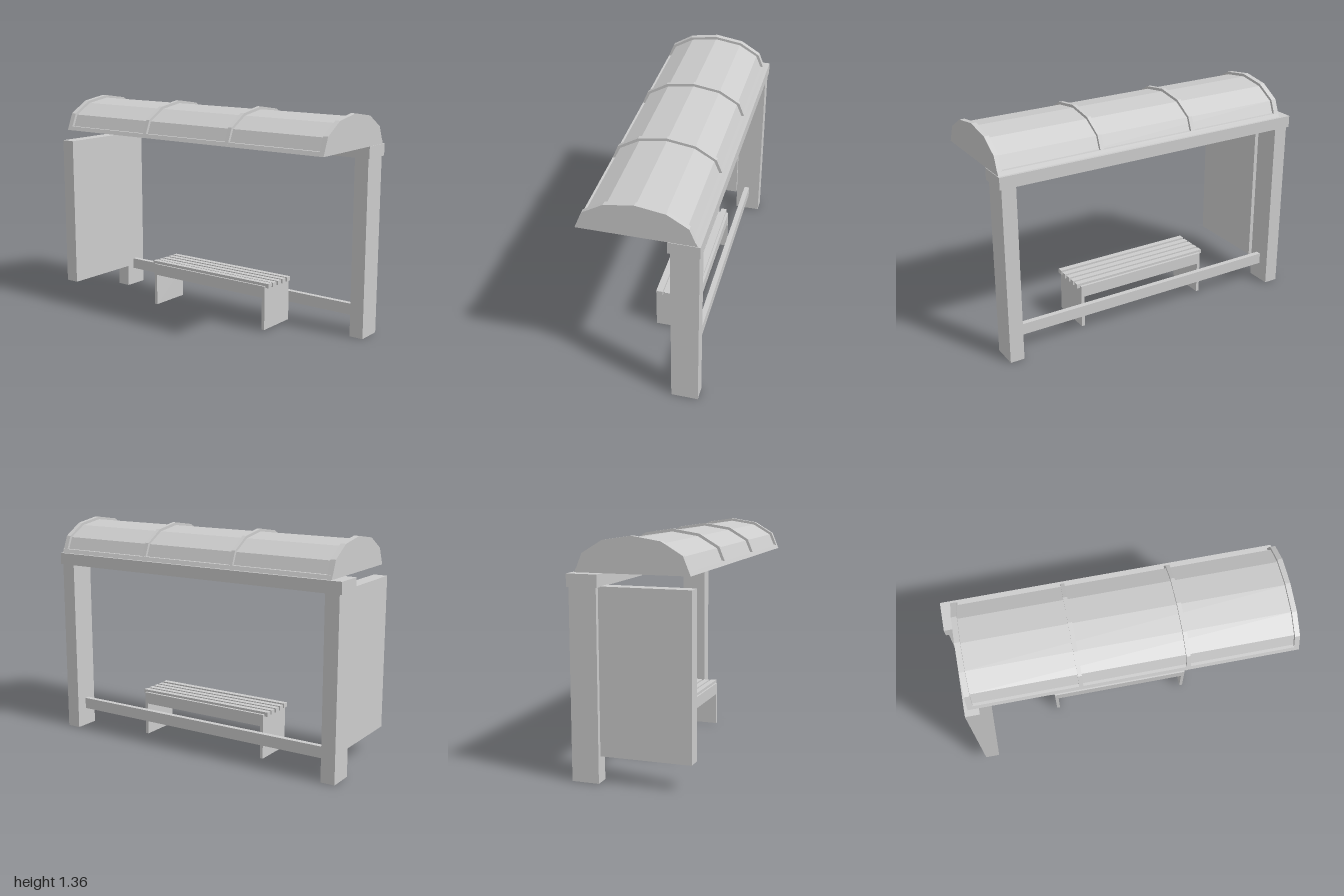
import * as THREE from 'three';

const material = new THREE.MeshStandardMaterial({ color: 0xcccccc, flatShading: true, side: THREE.DoubleSide });

// Box given by its low and high limits on each axis
function block(name, [x0, x1], [y0, y1], [z0, z1]) {
  const mesh = new THREE.Mesh(new THREE.BoxGeometry(x1 - x0, y1 - y0, z1 - z0), material);
  mesh.position.set((x0 + x1) / 2, (y0 + y1) / 2, (z0 + z1) / 2);
  mesh.name = name;
  return mesh;
}

// Outline of [z, y] points swept along x
function sweep(name, points, x0, x1) {
  const shape = new THREE.Shape(points.map(([z, y]) => new THREE.Vector2(-z, y)));
  const geometry = new THREE.ExtrudeGeometry(shape, { depth: x1 - x0, bevelEnabled: false });
  geometry.rotateY(Math.PI / 2);
  const mesh = new THREE.Mesh(geometry, material);
  mesh.position.x = x0;
  mesh.name = name;
  return mesh;
}

const EAVE = 1.16;
const ARCH = [[0.333, 0], [0.29, 0.105], [0.168, 0.178], [0, 0.204], [-0.168, 0.178], [-0.288, 0.105], [-0.33, 0]];

// Roof arch moved inward by t
const arch = t => ARCH.map(([z, y]) => [z * (1 - t / 0.333), EAVE + y * (1 - t / 0.204)]);
const archBand = (outer, inner) => [...arch(outer), ...arch(inner).reverse()];

function createRoof() {
  const roof = new THREE.Group();
  roof.name = 'roof';
  const x0 = -0.93, x1 = 0.995;
  roof.add(sweep('roofPanels', archBand(0.017, 0.03), x0 + 0.005, x1 - 0.005));
  // Closed ends and raised ribs
  roof.add(sweep('endCap', arch(0), x0, x0 + 0.012), sweep('endCap', arch(0), x1 - 0.012, x1));
  for (const [a, b] of [[x0, -0.897], [-0.288, -0.264], [0.335, 0.359], [0.965, x1]])
    roof.add(sweep('roofRib', archBand(0, 0.03), a, b));
  // Sloping rails along both eaves
  for (const s of [1, -1])
    roof.add(sweep('eaveRail', [[0.333, 0], [0.323, 0.024], [0.29, 0.024], [0.298, 0]]
      .map(([z, y]) => [s * z, EAVE + y]), x0, x1));
  return roof;
}

function createBench() {
  const bench = new THREE.Group();
  bench.name = 'bench';
  const depth = [-0.21, 0.057];
  bench.add(block('benchBase', [-0.44, 0.44], [0.21, 0.283], depth));
  for (const x of [-0.44, 0.42]) bench.add(block('benchLeg', [x, x + 0.02], [0.008, 0.21], depth));
  // Seat slats, the front one slightly raised
  for (let i = 0; i < 5; i++) {
    const z = 0.028 - i * 0.051;
    const lift = i === 0 ? 0.003 : 0;
    bench.add(block('seatSlat', [-0.46, 0.46], [0.27 + lift, 0.297 + lift], [z - 0.018, z + 0.018]));
  }
  return bench;
}

export function createModel() {
  const shelter = new THREE.Group();
  shelter.name = 'shelter';
  // Rear frame
  for (const x of [-0.985, 0.898])
    shelter.add(block('post', [x, x + 0.088], [0, 1.09], [-0.342, -0.182]));
  shelter.add(block('topBeam', [-1, 0.998], [1.088, 1.16], [-0.349, -0.17]));
  shelter.add(block('rearRail', [-0.9, 0.9], [0.115, 0.185], [-0.27, -0.237]));
  // Side wall
  shelter.add(block('sideWall', [-0.958, -0.872], [0.15, 1.092], [-0.182, 0.349]));
  shelter.add(createRoof(), createBench());
  return shelter;
}
